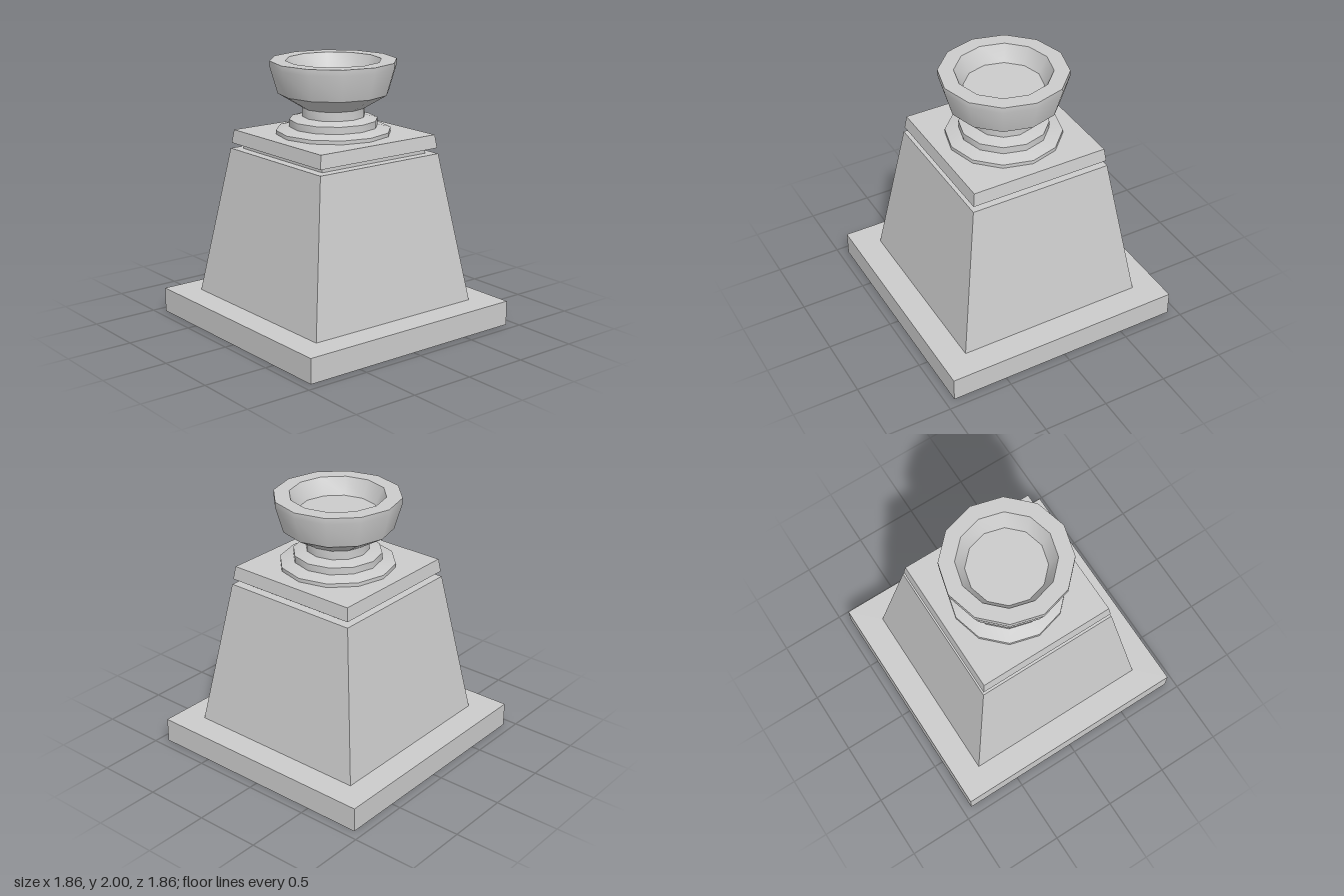
import * as THREE from 'three';
import { toCreasedNormals } from 'three/addons/utils/BufferGeometryUtils.js';

// Revolve a [radius, height] profile with a given number of sides
function turned(name, profile, sides, phiStart, scale, crease, side) {
  const points = profile.map(([r, y]) => new THREE.Vector2(r * scale, y));
  const lathe = new THREE.LatheGeometry(points, sides, phiStart);
  const material = new THREE.MeshStandardMaterial({ color: 0xcccccc, side });
  const mesh = new THREE.Mesh(toCreasedNormals(lathe, crease), material);
  mesh.name = name;
  return mesh;
}

// Square parts: the radius is the half width of the square
const square = (name, profile) =>
  turned(name, profile, 4, Math.PI / 4, Math.SQRT2, 0.3, THREE.DoubleSide);

// Round parts: twelve sides, softly shaded around
const round = (name, profile) =>
  turned(name, profile, 12, 0, 1, 0.6, THREE.FrontSide);

export function createModel() {
  const model = new THREE.Group();
  model.name = 'pedestalWithBowl';

  // Hollow plinth and tapered body, open underneath
  model.add(square('base', [[0.93, 0], [0.93, 0.187], [0.728, 0.187]]));
  model.add(square('taperedBody', [[0.728, 0.187], [0.549, 1.315], [0.48, 1.315]]));

  // Recessed groove and slightly tapered cap slab
  model.add(square('capSlab', [
    [0.48, 1.315], [0.48, 1.357], [0.543, 1.357], [0.529, 1.457], [0, 1.457],
  ]));

  // Stepped foot and neck
  model.add(round('steppedFoot', [
    [0.43, 1.457], [0.43, 1.485], [0.33, 1.51], [0.33, 1.563],
    [0.235, 1.585], [0.235, 1.652],
  ]));

  // Bowl with a thick flat rim and a shallow hollow
  model.add(round('bowl', [
    [0.235, 1.652], [0.413, 1.76], [0.47, 1.955], [0.47, 2],
    [0.355, 2], [0.29, 1.875], [0, 1.875],
  ]));

  return model;
}
